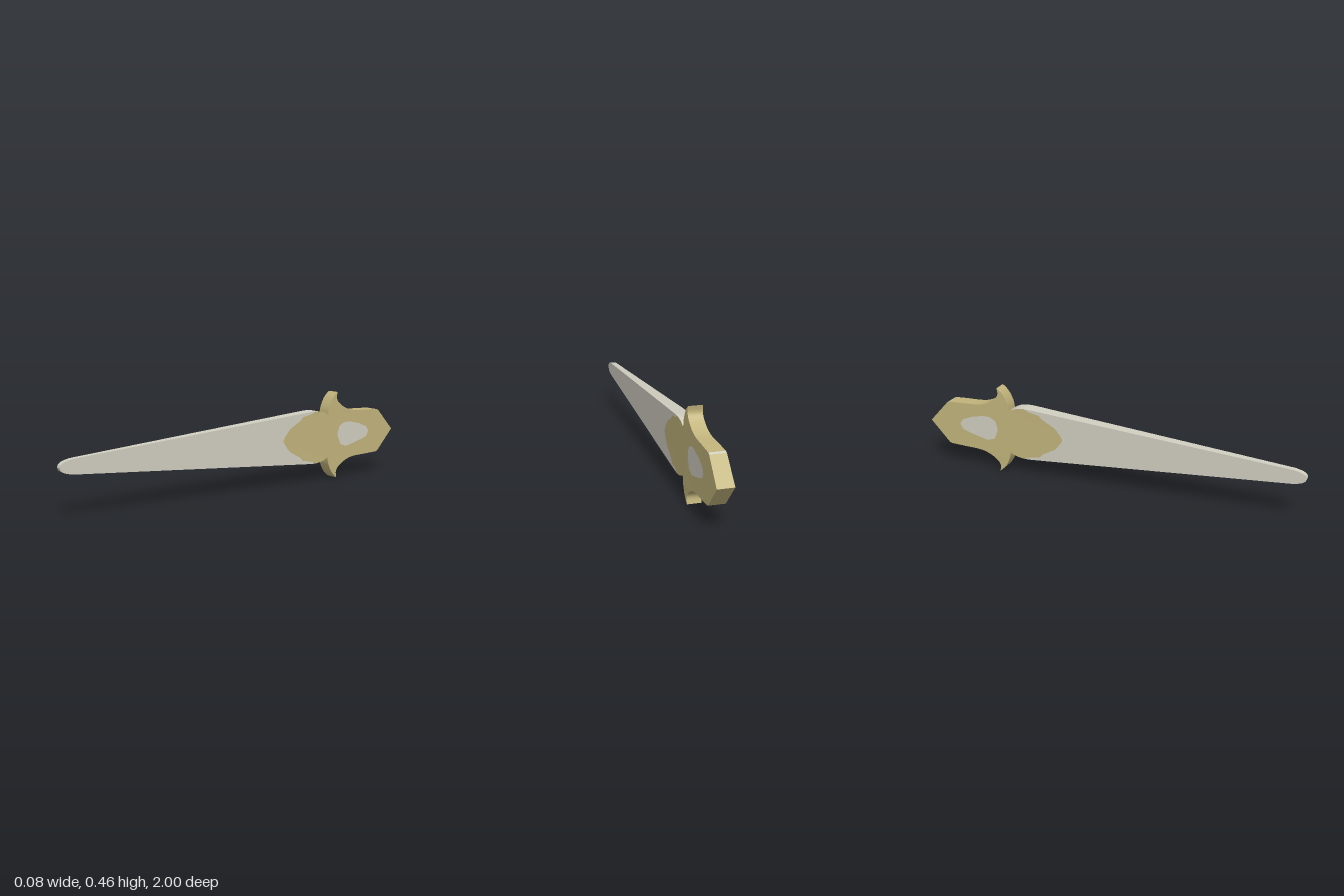
import * as THREE from 'three';

const MID = 0.231; // height of the centre line

// half thickness along the length
function halfThickness(z) {
  if (z > -0.45) return THREE.MathUtils.mapLinear(z, -0.45, 1, 0.035, 0.014);
  return THREE.MathUtils.mapLinear(Math.min(z, -0.6), -0.6, -1, 0.035, 0.04);
}

// profile points are [z, height above centre line]
const spline = (pts, n) =>
  new THREE.SplineCurve(pts.map(p => new THREE.Vector2(...p))).getPoints(n).map(p => [p.x, p.y]);
const mirrored = pts => pts.map(([z, h]) => [z, -h]).reverse();

// closes an upper half outline that starts and ends on the centre line
const closed = half => half.concat(mirrored(half).slice(1, -1));

export function createModel() {
  const steel = new THREE.MeshStandardMaterial({ color: 0xd0cdc0 });
  steel.name = 'pale steel';
  const gold = new THREE.MeshStandardMaterial({ color: 0xc2b47c });
  gold.name = 'dull gold';
  const group = new THREE.Group();

  function add(name, geometry, material) {
    const mesh = new THREE.Mesh(geometry, material);
    mesh.name = name;
    group.add(mesh);
  }

  // flat cheek on both sides, following the thickness
  function addFaces(name, outline, material, hole) {
    const toVec = pts => pts.map(p => new THREE.Vector2(...p));
    for (const side of [-1, 1]) {
      const shape = new THREE.Shape(toVec(outline));
      if (hole) shape.holes.push(new THREE.Path(toVec(hole)));
      const geo = new THREE.ShapeGeometry(shape);
      const pos = geo.attributes.position;
      for (let i = 0; i < pos.count; i++) {
        const z = pos.getX(i), h = pos.getY(i);
        pos.setXYZ(i, side * halfThickness(z), h + MID, z);
      }
      if (side > 0) geo.index.array.reverse();
      geo.computeVertexNormals();
      add((side > 0 ? 'left' : 'right') + name, geo, material);
    }
  }

  // smooth edge strip joining the two cheeks
  function addEdge(name, pts, material) {
    const pos = [], idx = [];
    pts.forEach(([z, h], i) => {
      const t = halfThickness(z);
      pos.push(-t, h + MID, z, t, h + MID, z);
      if (i > 0) {
        const a = 2 * i - 2;
        idx.push(a, a + 1, a + 2, a + 1, a + 3, a + 2);
      }
    });
    const geo = new THREE.BufferGeometry();
    geo.setAttribute('position', new THREE.Float32BufferAttribute(pos, 3));
    geo.setIndex(idx);
    geo.computeVertexNormals();
    add(name, geo, material);
  }
  function addEdgePair(name, pts, material) {
    addEdge('upper' + name, pts, material);
    addEdge('lower' + name, mirrored(pts), material);
  }

  // upper half profile, from tip to pommel
  const tip = spline([[1, 0], [0.994, 0.014], [0.975, 0.026], [0.94, 0.035]], 8);
  const edge = [[0.94, 0.035], [-0.41, 0.1375]];
  const shoulderFront = [[-0.41, 0.1375], [-0.45, 0.139]];
  const shoulderBack = spline([[-0.45, 0.139], [-0.5, 0.131], [-0.535, 0.114]], 8);
  const guardFront = spline([[-0.535, 0.114], [-0.541, 0.148], [-0.556, 0.183], [-0.575, 0.21], [-0.6, 0.231]], 14);
  const guardBack = spline([[-0.6, 0.231], [-0.596, 0.2], [-0.61, 0.175], [-0.645, 0.149],
    [-0.69, 0.131], [-0.74, 0.124], [-0.8, 0.122]], 20);
  const grip = [[-0.8, 0.122], [-0.885, 0.118]];
  const collar = [[-0.885, 0.118], [-0.897, 0.113]];
  const pommel = [[-0.897, 0.113], [-1, 0]];

  // border between steel blade and gold base
  const border = [[-0.236, 0], [-0.248, 0.022], [-0.28, 0.06], [-0.35, 0.098], [-0.365, 0.115], [-0.42, 0.125]];

  // teardrop inlay on the handle
  const inlay = [[-0.604, 0], [-0.615, 0.045], [-0.65, 0.066], [-0.69, 0.066], [-0.76, 0.05], [-0.81, 0.028],
    [-0.826, 0.003], [-0.81, -0.026], [-0.745, -0.046], [-0.665, -0.066], [-0.625, -0.052]];

  const bladeHalf = [...tip, edge[1], shoulderFront[1], ...border.slice().reverse()];
  const hiltHalf = [...border, ...shoulderBack, ...guardFront.slice(1), ...guardBack.slice(1),
    grip[1], collar[1], pommel[1]];
  addFaces('BladeFace', closed(bladeHalf), steel);
  addFaces('HiltFace', closed(hiltHalf), gold, inlay);
  addFaces('HandleInlay', inlay, steel);

  addEdge('bladeTip', mirrored(tip).concat(tip.slice(1)), steel);
  addEdgePair('BladeEdge', edge, steel);
  addEdgePair('BladeShoulder', [...shoulderFront, ...shoulderBack.slice(1)], steel);
  addEdgePair('GuardFront', guardFront, gold);
  addEdgePair('GuardBack', [...guardBack, grip[1]], gold);
  addEdgePair('PommelCollar', collar, steel);
  addEdgePair('PommelEnd', pommel, gold);
  return group;
}
